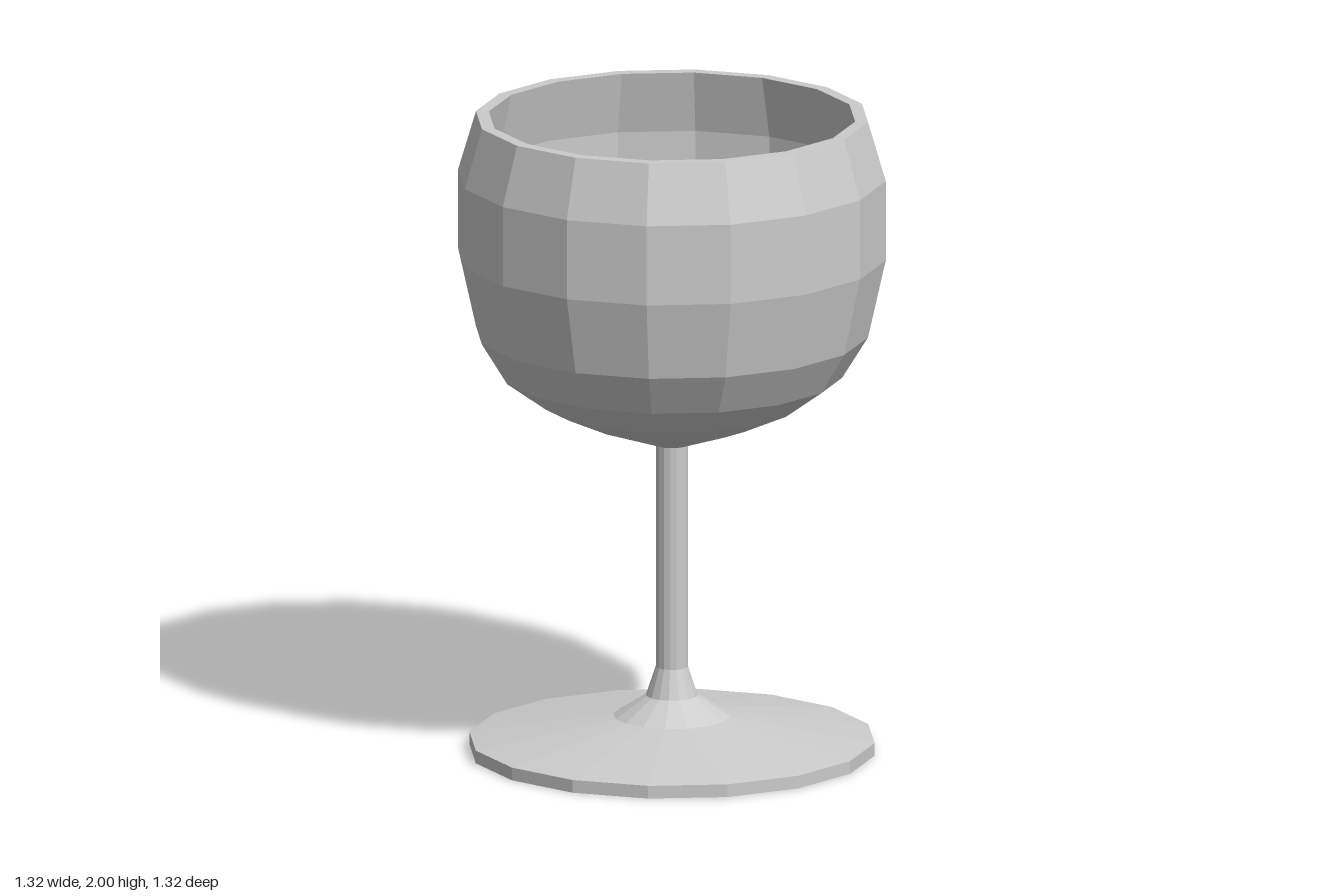
import * as THREE from 'three';

const SIDES = 16;

// Faceted turned part from [radius, height] pairs, listed from bottom outside to top
function turned(name, profile, material) {
  const points = profile.map(([r, y]) => new THREE.Vector2(r, y));
  const mesh = new THREE.Mesh(new THREE.LatheGeometry(points, SIDES), material);
  mesh.name = name;
  return mesh;
}

export function createModel() {
  const group = new THREE.Group();
  group.name = 'goblet';
  const material = new THREE.MeshStandardMaterial({ color: 0xcccccc, flatShading: true });

  // Flat disc with a shallow cone rising to the stem
  group.add(turned('foot', [
    [0, 0], [0.625, 0], [0.625, 0.04], [0.18, 0.11], [0.08, 0.175],
  ], material));

  // Flared collar and slender stem
  group.add(turned('stem', [
    [0.08, 0.175], [0.05, 0.265], [0.05, 0.965],
  ], material));

  // Bowl: outer wall up, flat rim, inner wall down to a small flat floor
  group.add(turned('bowl', [
    [0.05, 0.965], [0.255, 1.035], [0.4, 1.1], [0.525, 1.19], [0.605, 1.32],
    [0.66, 1.565], [0.66, 1.815], [0.605, 2],
    [0.565, 2], [0.61, 1.805], [0.61, 1.57], [0.545, 1.335], [0.435, 1.18],
    [0.13, 1.04], [0, 1.04],
  ], material));

  return group;
}
